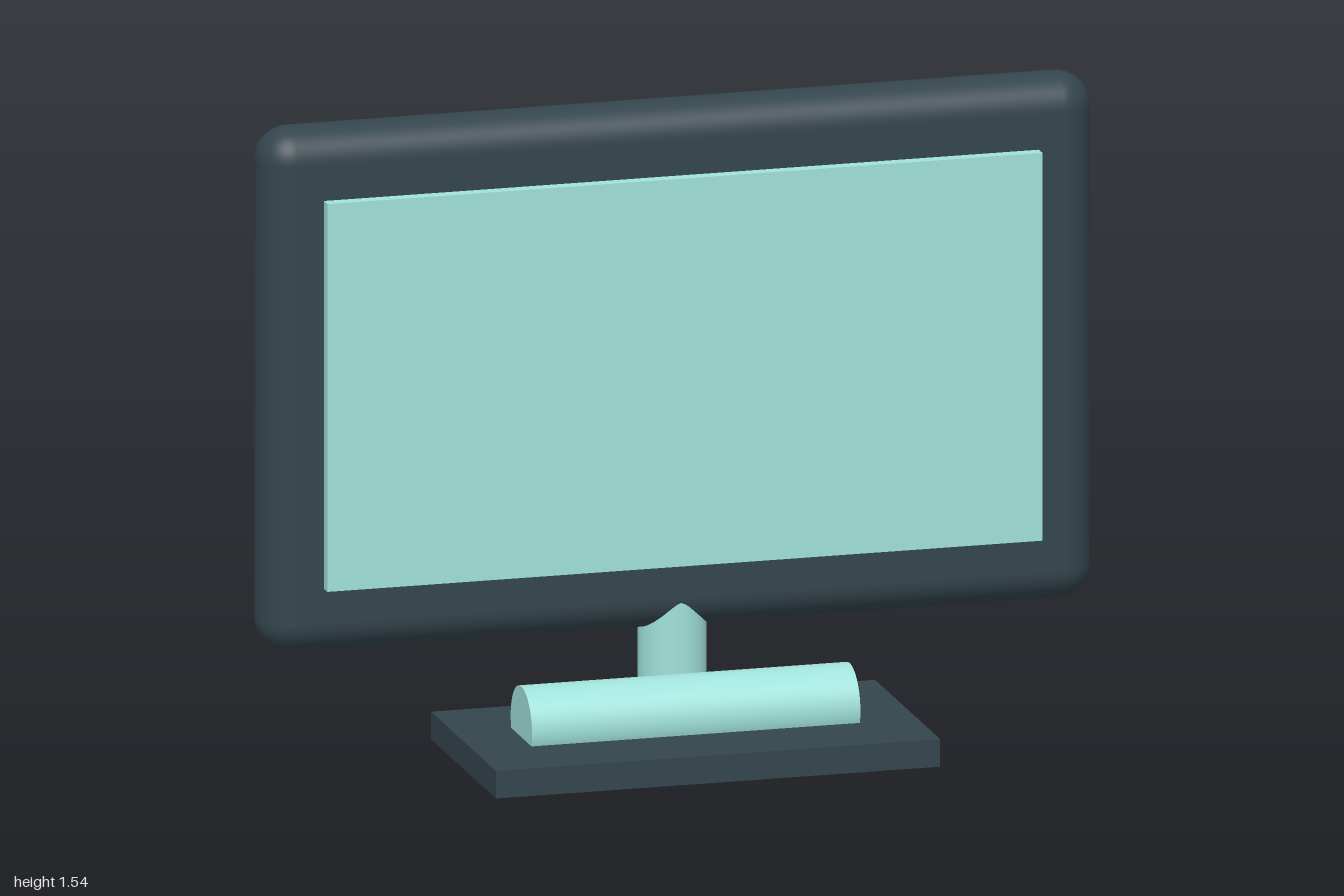
import * as THREE from 'three';
import { RoundedBoxGeometry } from 'three/addons/geometries/RoundedBoxGeometry.js';

export function createModel() {
  const model = new THREE.Group();
  model.name = 'monitor';

  const dark = new THREE.MeshStandardMaterial({ color: 0x34454d });
  dark.name = 'dark slate';
  const teal = new THREE.MeshStandardMaterial({ color: 0xa0e2da });
  teal.name = 'pale teal';

  function add(name, geometry, material, x, y, z) {
    const mesh = new THREE.Mesh(geometry, material);
    mesh.name = name;
    mesh.position.set(x, y, z);
    model.add(mesh);
    return mesh;
  }

  // Foot plate
  add('base', new THREE.BoxGeometry(1.066, 0.066, 0.556), dark, 0, 0.033, 0);

  // Half-sunk round bar lying on the foot
  const bar = add('bar', new THREE.CylinderGeometry(0.092, 0.092, 0.788, 48), teal, 0, 0.095, 0);
  bar.rotation.z = Math.PI / 2;

  // Neck, as thick as the housing, running up into it
  add('neck', new THREE.CylinderGeometry(0.08, 0.08, 0.5, 48), teal, 0, 0.255, -0.116);

  // Housing with fully rounded edges
  add('housing', new RoundedBoxGeometry(2, 1.255, 0.162, 10, 0.0805), dark, 0, 0.9085, -0.116);

  // Raised screen panel
  add('screen', new THREE.BoxGeometry(1.716, 0.927, 0.06), teal, 0, 0.9085, -0.035);

  return model;
}
